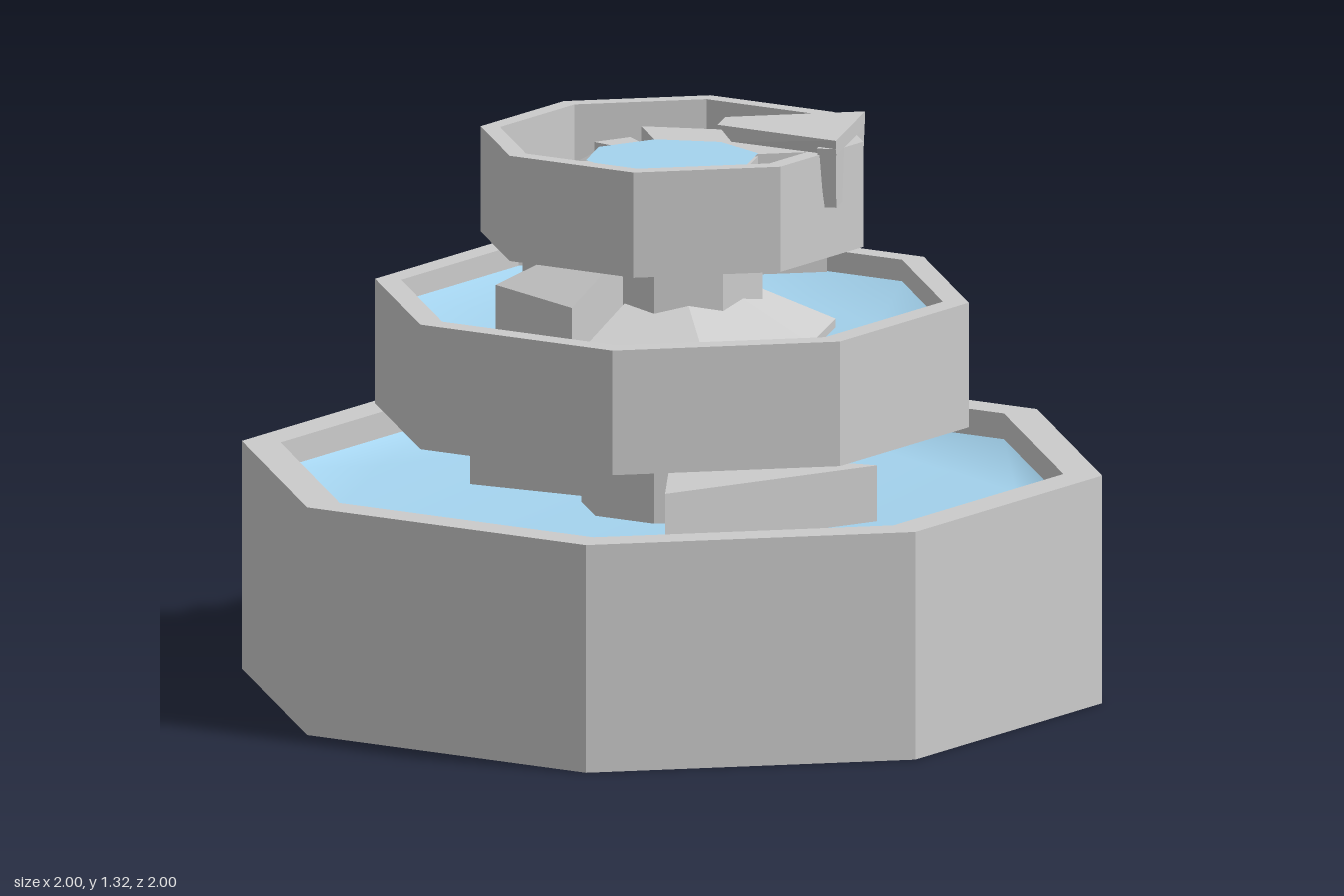
import * as THREE from 'three';
import { ConvexGeometry } from 'three/addons/geometries/ConvexGeometry.js';

const stone = new THREE.MeshStandardMaterial({ color: 0xcccccc, flatShading: true });
const waterMat = new THREE.MeshStandardMaterial({ color: 0xa4d3ee, side: THREE.DoubleSide });
const STEP = Math.PI / 4;

// Point on a circle; angle 0 faces the front and grows towards +x.
const polar = (r, a, y) => new THREE.Vector3(r * Math.sin(a), y, r * Math.cos(a));

export function createModel() {
  const model = new THREE.Group();
  const add = (name, geometry, material = stone) => {
    const mesh = new THREE.Mesh(geometry, material);
    mesh.name = name;
    model.add(mesh);
    return mesh;
  };

  // Eight-sided basin with a flat rim and a floor.
  const basin = (name, outer, inner, bottom, top, floor) => {
    const profile = [[0, bottom], [outer, bottom], [outer, top], [inner, top], [inner, floor], [0, floor]];
    const g = new THREE.LatheGeometry(profile.map(p => new THREE.Vector2(...p)), 8).toNonIndexed();
    g.computeVertexNormals();
    add(name, g);
  };

  // Shallow dished pool: a turned inner octagon joined to the basin wall.
  const pool = (name, outer, outerY, inner, innerY) => {
    const pos = [0, innerY, 0], index = [];
    for (let i = 0; i < 8; i++) {
      pos.push(...polar(inner, (i + 0.5) * STEP, innerY).toArray());
      pos.push(...polar(outer, i * STEP, outerY).toArray());
      const j = (i + 1) % 8;
      const m = 1 + 2 * i, o = m + 1, mNext = 1 + 2 * j, oNext = mNext + 1;
      index.push(0, m, mNext, m, oNext, mNext, m, o, oNext);
    }
    const g = new THREE.BufferGeometry();
    g.setAttribute('position', new THREE.Float32BufferAttribute(pos, 3));
    g.setIndex(index);
    g.computeVertexNormals();
    add(name, g, waterMat);
  };

  // Wedge-shaped stone running outwards from the core.
  const wedge = (name, sector, r0, y0, r1, y1, base, half = STEP / 2) => {
    const pts = [];
    for (const a of [sector * STEP - half, sector * STEP + half]) {
      pts.push(polar(r0, a, y0), polar(r1, a, y1), polar(r0, a, base), polar(r1, a, base));
    }
    add(name, new ConvexGeometry(pts));
  };

  const pillar = (name, r0, r1, y0, y1) => {
    const g = new THREE.CylinderGeometry(r1, r0, y1 - y0, 8);
    g.translate(0, (y0 + y1) / 2, 0);
    add(name, g);
  };

  // Three stacked basins
  basin('lowerBasin', 1, 0.91, 0, 0.53, 0.36);
  basin('middleBasin', 0.69, 0.63, 0.63, 0.92, 0.76);
  basin('upperBasin', 0.445, 0.4, 1.04, 1.285, 1.15);

  // Pools
  pool('lowerWater', 0.91, 0.47, 0.8, 0.42);
  pool('middleWater', 0.63, 0.87, 0.48, 0.82);

  // Pillars between the basins
  pillar('lowerPillar', 0.21, 0.21, 0.36, 0.64);
  pillar('upperPillar', 0.21, 0.21, 0.76, 1.05);

  // Foot stones of the lower pillar: one flat slab, one ramp
  wedge('lowerFootSlab', 1, 0.15, 0.55, 0.5, 0.55, 0.4, 0.62);
  wedge('lowerFootRamp', 5, 0.2, 0.645, 0.52, 0.53, 0.4, 0.5);

  // Stones around the upper pillar
  for (const s of [0, 1, 2, 4, 6]) wedge('upperFootRamp', s, 0.18, 0.93, 0.38, 0.84, 0.78);
  for (const s of [5, 7]) wedge('upperFootStone', s, 0.2, 1.045, 0.41, 0.95, 0.8);
  wedge('upperFootBlock', 3, 0.2, 1.045, 0.36, 1.045, 0.95, 0.4);

  // Hub in the top basin, with ramps and level slabs around it
  const hub = new THREE.CylinderGeometry(0.2, 0.2, 0.09, 8);
  hub.rotateY(STEP / 2);
  hub.translate(0, 1.18, 0);
  add('hub', hub);
  for (const s of [0, 6, 5]) wedge('hubRamp', s, 0.2, 1.225, 0.325, 1.155, 1.145);
  for (const s of [1, 3, 4, 7]) wedge('hubSlab', s, 0.19, 1.23, 0.36, 1.23, 1.145);
  wedge('hubSlab', 5, 0.18, 1.23, 0.25, 1.23, 1.145, 0.2);

  // Water on the hub
  const cap = new THREE.CircleGeometry(0.2, 8);
  cap.rotateX(-Math.PI / 2);
  cap.rotateY(STEP / 2);
  cap.translate(0, 1.232, 0);
  add('hubWater', cap, waterMat);

  // Spout plate over the rim and its hanging lip
  const plate = [], lip = [];
  for (const s of [-1, 1]) {
    for (const [x, y, z] of [[0.115, 1.32, 0.045], [0.415, 1.32, 0.17], [0.15, 1.285, 0.06], [0.415, 1.285, 0.165]])
      plate.push(new THREE.Vector3(x, y, z * s));
    for (const [x, y, z] of [[0.37, 1.3, 0.168], [0.415, 1.3, 0.168], [0.385, 1.16, 0.15], [0.412, 1.16, 0.15]])
      lip.push(new THREE.Vector3(x, y, z * s));
  }
  add('spoutPlate', new ConvexGeometry(plate));
  add('spoutLip', new ConvexGeometry(lip));

  return model;
}
